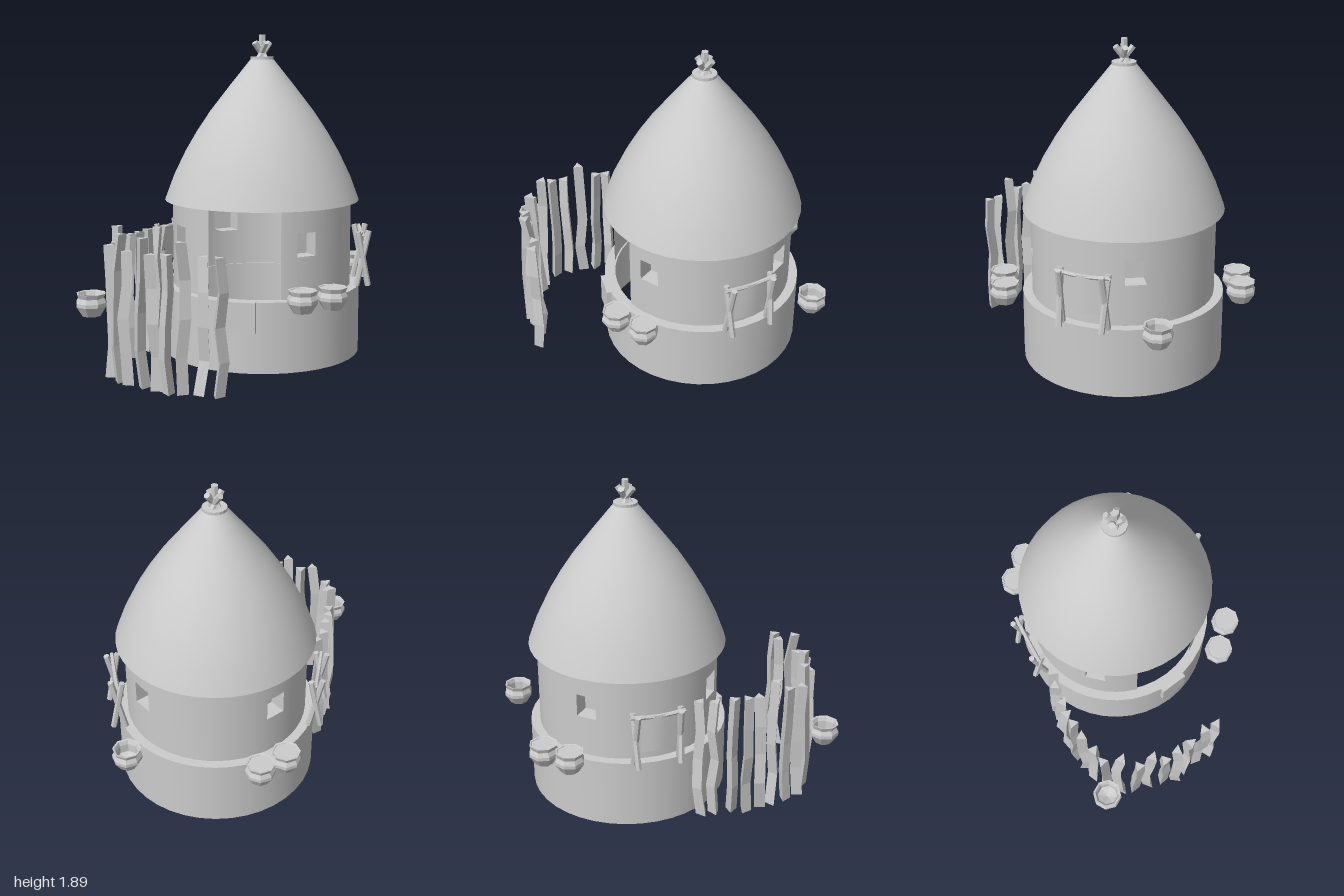
import * as THREE from 'three';

const smooth = new THREE.MeshStandardMaterial({ color: 0xcccccc, side: THREE.DoubleSide });
const faceted = new THREE.MeshStandardMaterial({ color: 0xcccccc, side: THREE.DoubleSide, flatShading: true });
const recess = new THREE.MeshStandardMaterial({ color: 0xcccccc, side: THREE.BackSide, flatShading: true });
const rad = THREE.MathUtils.degToRad;
const V = (x, y, z) => new THREE.Vector3(x, y, z);

function add(parent, name, geometry, material, x = 0, y = 0, z = 0) {
  const m = new THREE.Mesh(geometry, material);
  m.name = name;
  m.position.set(x, y, z);
  parent.add(m);
  return m;
}

// straight pole between two points
function pole(parent, name, a, b, r, sides = 6) {
  const mid = a.clone().add(b).multiplyScalar(0.5);
  const m = add(parent, name, new THREE.CylinderGeometry(r, r, a.distanceTo(b), sides), faceted, mid.x, mid.y, mid.z);
  m.quaternion.setFromUnitVectors(V(0, 1, 0), b.clone().sub(a).normalize());
}

let seed = 7;
const rnd = () => (seed = (seed * 16807) % 2147483647) / 2147483647 - 0.5;

// round wall with a doorway at the front and four window recesses
function buildWall(hut) {
  const R = 0.535, y0 = 0.41, y1 = 0.915, w0 = 0.65, w1 = 0.785, half = 6.3;
  const panel = (a, b, lo, hi) => add(hut, 'wallPanel', new THREE.CylinderGeometry(
    R, R, hi - lo, Math.max(2, Math.round((b - a) / 8)), 1, true, rad(a), rad(b - a)), smooth, 0, (lo + hi) / 2, 0);
  let from = 23;
  for (let k = 0; k < 4; k++) {
    const c = 39.5 + 90 * k;
    panel(from, c - half, y0, y1);
    panel(c - half, c + half, y0, w0);
    panel(c - half, c + half, w1, y1);
    const depth = 0.1, r = R - depth / 2;
    const win = add(hut, 'windowRecess', new THREE.BoxGeometry(0.117, w1 - w0, depth), recess,
      r * Math.sin(rad(c)), (w0 + w1) / 2, r * Math.cos(rad(c)));
    win.rotation.y = rad(c);
    from = c + half;
  }
  panel(from, 337, y0, y1);
}

function buildHut() {
  const hut = new THREE.Group();
  hut.name = 'hut';
  hut.position.set(-0.15, 0, -0.17);
  add(hut, 'base', new THREE.CylinderGeometry(0.59, 0.59, 0.41, 40, 1, true), smooth, 0, 0.205, 0);
  add(hut, 'ledge', new THREE.RingGeometry(0.525, 0.59, 40), smooth, 0, 0.41, 0).rotation.x = -Math.PI / 2;
  buildWall(hut);
  add(hut, 'doorStep', new THREE.BoxGeometry(0.17, 0.175, 0.04), faceted, 0, 0.325, 0.59);

  // thatched roof, its eave and the bundle of sticks on top
  const profile = [[0.582, 0.915], [0.53, 1.055], [0.46, 1.2], [0.39, 1.32], [0.31, 1.44], [0.19, 1.595], [0.07, 1.745]];
  add(hut, 'roof', new THREE.LatheGeometry(profile.map(p => new THREE.Vector2(...p)), 40), smooth);
  add(hut, 'eave', new THREE.RingGeometry(0.53, 0.582, 40), smooth, 0, 0.915, 0).rotation.x = -Math.PI / 2;
  add(hut, 'roofTie', new THREE.CylinderGeometry(0.07, 0.07, 0.022, 16), faceted, 0, 1.75, 0);
  pole(hut, 'roofStick', V(0, 1.74, 0), V(0, 1.89, 0), 0.021);
  for (let i = 0; i < 4; i++) {
    const a = i * Math.PI / 2 + 0.6;
    pole(hut, 'roofStick', V(-0.035 * Math.cos(a), 1.74, -0.035 * Math.sin(a)),
      V(0.05 * Math.cos(a + 0.3), 1.845, 0.05 * Math.sin(a + 0.3)), 0.019);
  }
  return hut;
}

// hide hung from a bar between two pairs of crossed posts; local z points away from the wall
function buildRack(x, z, azimuth) {
  const rack = new THREE.Group();
  rack.name = 'dryingRack';
  rack.position.set(x, 0, z);
  rack.rotation.y = rad(azimuth);
  for (const s of [-1, 1]) {
    pole(rack, 'rackPost', V(s * 0.125, 0.41, 0.035), V(s * 0.14, 0.735, -0.03), 0.018);
    pole(rack, 'rackPost', V(s * 0.135, 0.41, -0.035), V(s * 0.125, 0.74, 0.035), 0.018);
  }
  const bar = new THREE.CatmullRomCurve3([V(-0.16, 0.725, 0), V(0, 0.712, 0), V(0.16, 0.725, 0)]);
  add(rack, 'rackBar', new THREE.TubeGeometry(bar, 6, 0.012, 6), faceted);
  const hide = new THREE.PlaneGeometry(0.2, 0.225, 6, 2);
  const p = hide.attributes.position;
  for (let i = 0; i < p.count; i++) p.setZ(i, 0.012 * Math.cos(p.getX(i) * 20));
  hide.computeVertexNormals();
  add(rack, 'hide', hide, smooth, 0, 0.61, 0);
  return rack;
}

// eight-sided pot; filled pots get a flat lid of contents
function buildPot(x, z, filled) {
  const pot = new THREE.Group();
  pot.name = 'pot';
  pot.position.set(x, 0.375, z);
  const pts = [[0, 0], [0.052, 0], [0.086, 0.055], [0.086, 0.075], [0.073, 0.1], [0.083, 0.125], [0.072, 0.123], [0.062, 0.1], [0.06, 0.05], [0, 0.025]];
  add(pot, 'potBody', new THREE.LatheGeometry(pts.map(p => new THREE.Vector2(...p)), 8), faceted);
  if (filled) add(pot, 'potContents', new THREE.CircleGeometry(0.074, 8), faceted, 0, 0.119, 0).rotation.x = -Math.PI / 2;
  return pot;
}

// crooked three-sided stake, swept through a few shifted cross-sections
function buildStake(x, z, height) {
  const geo = new THREE.CylinderGeometry(0.035, 0.038, height, 3, 4);
  const p = geo.attributes.position;
  const bends = [0, 1, 2, 3, 4].map(() => [rnd() * 0.035, rnd() * 0.035]);
  for (let i = 0; i < p.count; i++) {
    const [dx, dz] = bends[Math.round((p.getY(i) / height + 0.5) * 4)];
    const a = x * 9 + z * 7, px = p.getX(i), pz = p.getZ(i);
    p.setX(i, px * Math.cos(a) - pz * Math.sin(a) + dx);
    p.setZ(i, px * Math.sin(a) + pz * Math.cos(a) + dz);
  }
  const m = new THREE.Mesh(geo, faceted);
  m.name = 'fenceStake';
  m.position.set(x, height / 2, z);
  return m;
}

export function createModel() {
  const model = new THREE.Group();
  model.name = 'roundHut';
  model.add(buildHut());
  model.add(buildRack(0.44, -0.28, 101), buildRack(-0.75, -0.26, -99));

  for (const [x, z, filled] of [[-0.55, -0.715, 1], [-0.405, -0.815, 1], [0.35, 0.32, 1], [0.2, 0.44, 1], [0.345, -0.7, 0], [-0.91, 0.745, 0]])
    model.add(buildPot(x, z, filled));

  // fence curving from the left side round to the front
  const fence = new THREE.Group();
  fence.name = 'fence';
  const stakes = [[-0.76, 0], [-0.8, 0.08], [-0.83, 0.175], [-0.855, 0.26], [-0.86, 0.345], [-0.855, 0.44], [-0.85, 0.53], [-0.84, 0.62],
    [-0.775, 0.695], [-0.705, 0.755], [-0.615, 0.785], [-0.53, 0.82], [-0.45, 0.84], [-0.365, 0.84], [-0.265, 0.83], [-0.17, 0.84]];
  const tall = [5, 8, 10, 13];
  stakes.forEach(([x, z], i) => fence.add(buildStake(x, z, tall.includes(i) ? 0.82 : 0.745)));
  model.add(fence);
  return model;
}
